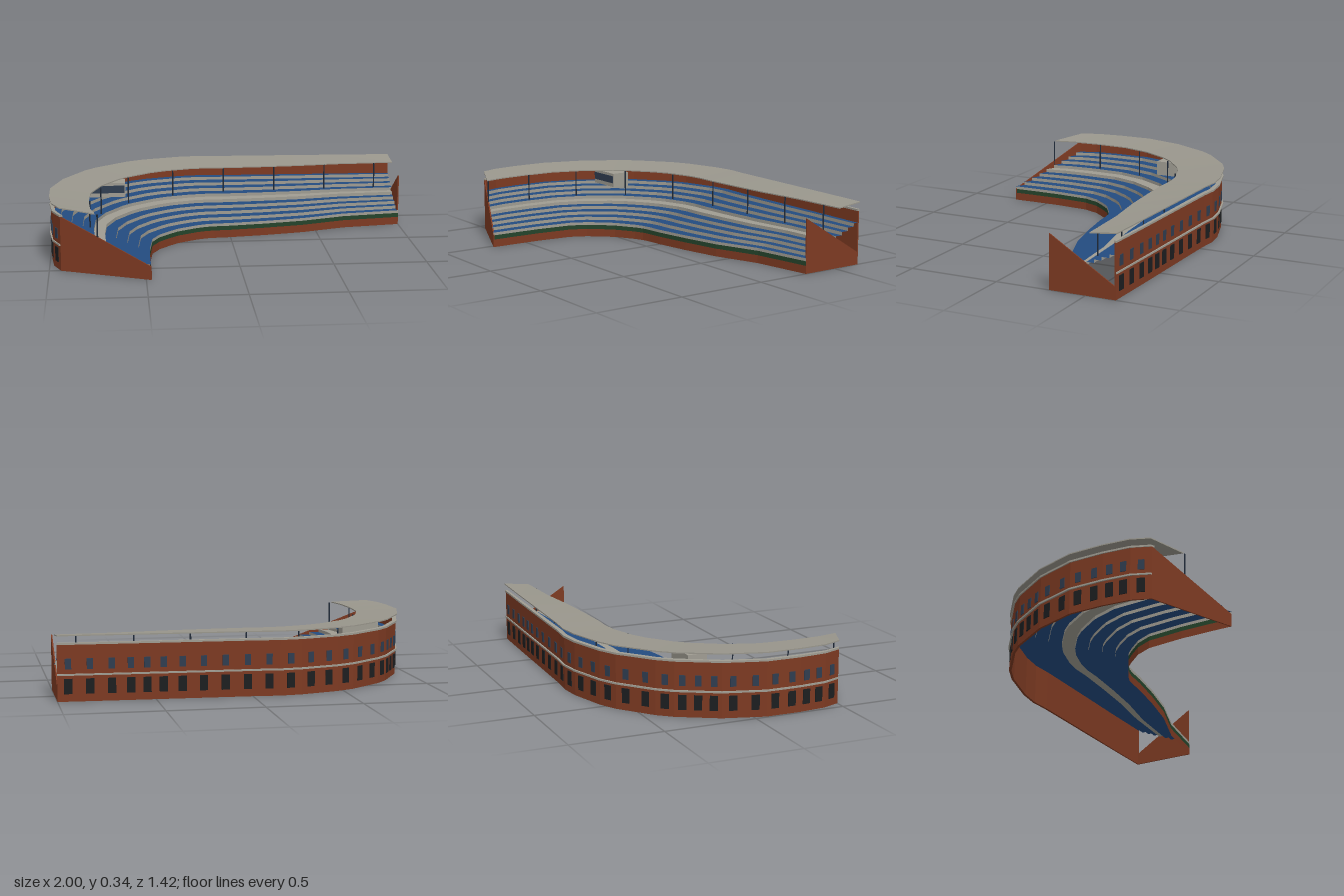
import * as THREE from 'three';

const mat = (name, color) => {
  const m = new THREE.MeshStandardMaterial({ color, side: THREE.DoubleSide });
  m.name = name;
  return m;
};

// Plan stations along the stand: inner x, z then outer x, z
const STATIONS = [
  [-0.475, 0.71, -0.945, 0.50], [-0.475, 0.58, -0.985, 0.40], [-0.472, 0.42, -1.0, 0.25],
  [-0.452, 0.22, -1.0, 0.06], [-0.41, 0.13, -0.935, -0.16], [-0.345, 0.055, -0.815, -0.37],
  [-0.30, 0.01, -0.75, -0.445], [-0.25, -0.02, -0.57, -0.59], [-0.19, -0.055, -0.47, -0.64],
  [-0.14, -0.075, -0.26, -0.70], [-0.09, -0.083, -0.14, -0.714], [0, -0.09, -0.03, -0.704],
  [0.2, -0.12, 0.2, -0.697], [0.42, -0.165, 0.42, -0.69], [0.67, -0.25, 0.67, -0.682],
  [1, -0.30, 1, -0.67],
];

// Point at station i, fraction s from inner (0) to outer (1) edge
function at(i, s, y = 0) {
  const [a, b, c, d] = STATIONS[i];
  return new THREE.Vector3(a + (c - a) * s, y, b + (d - b) * s);
}

// Flat-shaded geometry from a list of quads
function quads(list) {
  const pos = [];
  for (const [a, b, c, d] of list) {
    for (const p of [a, b, c, a, c, d]) pos.push(p.x, p.y, p.z);
  }
  const g = new THREE.BufferGeometry();
  g.setAttribute('position', new THREE.Float32BufferAttribute(pos, 3));
  g.computeVertexNormals();
  return g;
}

// Sweep a cross-section of [s, y] points along all stations
function sweep(profile, closed = false) {
  const list = [];
  const n = profile.length;
  const last = STATIONS.length - 1;
  const p = (i, k) => at(i, ...profile[k % n]);
  for (let i = 0; i < last; i++) {
    for (let k = 0; k < (closed ? n : n - 1); k++) {
      list.push([p(i, k), p(i + 1, k), p(i + 1, k + 1), p(i, k + 1)]);
    }
  }
  if (closed) for (const i of [0, last]) list.push([0, 1, 2, 3].map((k) => p(i, k)));
  return quads(list);
}

const band = (s0, s1, y0, y1) => sweep([[s0, y0], [s1, y0], [s1, y1], [s0, y1]], true);

export function createModel() {
  const group = new THREE.Group();
  group.name = 'grandstand';
  const brick = mat('brick', 0x7d3a22);
  const concrete = mat('concrete', 0x9f9c92);
  const roofGrey = mat('roof grey', 0x99968c);
  const blue = mat('seat blue', 0x234b80);
  const green = mat('green', 0x24432a);
  const steel = mat('dark steel', 0x202b3a);
  const doorDark = mat('door dark', 0x1c1e20);
  const glass = mat('window glass', 0x2f3d50);

  const add = (name, geo, material, parent = group) => {
    const m = new THREE.Mesh(geo, material);
    m.name = name;
    parent.add(m);
    return m;
  };
  const box = (name, w, h, d, material, x, y, z, parent) => {
    const m = add(name, new THREE.BoxGeometry(w, h, d), material, parent);
    m.position.set(x, y, z);
    return m;
  };

  // Front parapet in three bands
  add('frontBase', sweep([[0, 0], [0, 0.043]]), brick);
  add('frontGreenBand', sweep([[0, 0.043], [0, 0.067]]), green);

  // Nine terrace rows, the middle one a bare walkway
  const rows = 9, low = 0.083, rise = 0.018;
  for (let r = 0; r < rows; r++) {
    const s0 = r / rows, s1 = (r + 1) / rows, y = low + r * rise;
    add('riser', sweep([[s0, r ? y - rise : 0.067], [s0, y]]), concrete);
    add(r === 4 ? 'walkway' : 'seatRow', sweep([[s0, y], [Math.min(s1, 0.97), y]]), r === 4 ? concrete : blue);
  }

  // Back wall with coping and belt course
  add('backWall', band(0.965, 0.985, 0, 0.29), brick);
  add('coping', band(0.955, 0.995, 0.29, 0.3), concrete);
  add('beltCourse', band(0.984, 1.0, 0.133, 0.142), concrete);

  // Sloping end walls
  const last = STATIONS.length - 1;
  const endWall = (name, i, innerTop, outerTop, dx, dz) => {
    const face = [at(i, 0), at(i, 0.985), at(i, 0.985, outerTop), at(i, 0, innerTop)];
    const inside = face.map((p) => p.clone().add(new THREE.Vector3(dx, 0, dz)));
    const sides = face.map((p, k) => [p, face[(k + 1) % 4], inside[(k + 1) % 4], inside[k]]);
    add(name, quads([face, inside, ...sides]), brick);
  };
  endWall('rightEndWall', 0, 0.07, 0.292, 0.003, -0.006);
  endWall('leftEndWall', last, 0.292, 0.065, -0.007, 0);

  // Roof, rising toward the back
  add('roof', sweep([[0.6, 0.318], [1, 0.334], [1, 0.34], [0.6, 0.324]], true), roofGrey);

  // Slim roof posts
  const posts = [[-0.745, 0.585], [-0.785, 0.29], [-0.725, 0], [-0.57, -0.25], [-0.31, -0.41],
    [-0.01, -0.475], [0.29, -0.487], [0.59, -0.503], [0.89, -0.513]];
  for (const [x, z] of posts) {
    const post = add('roofPost', new THREE.CylinderGeometry(0.004, 0.004, 0.146, 8), steel);
    post.position.set(x, 0.247, z);
  }

  // Press cabin under the roof edge
  box('cabin', 0.2, 0.08, 0.105, concrete, -0.688, 0.267, -0.228);
  box('cabinWindow', 0.19, 0.042, 0.006, glass, -0.688, 0.271, -0.175);

  // Openings spaced along every stretch of the back wall
  for (let i = 0; i < last; i++) {
    const a = at(i, 0.985), b = at(i + 1, 0.985);
    const len = a.distanceTo(b);
    const n = Math.max(1, Math.round(len / 0.095));
    for (let k = 0; k < n; k++) {
      const bay = new THREE.Group();
      bay.name = 'wallBay';
      bay.position.lerpVectors(a, b, (k + 0.5) / n);
      bay.rotation.y = -Math.atan2(b.z - a.z, b.x - a.x);
      group.add(bay);
      box('lowerOpening', 0.042, 0.078, 0.008, doorDark, 0, 0.078, 0, bay);
      box('upperWindow', 0.032, 0.055, 0.008, glass, 0, 0.192, 0, bay);
    }
  }
  return group;
}
